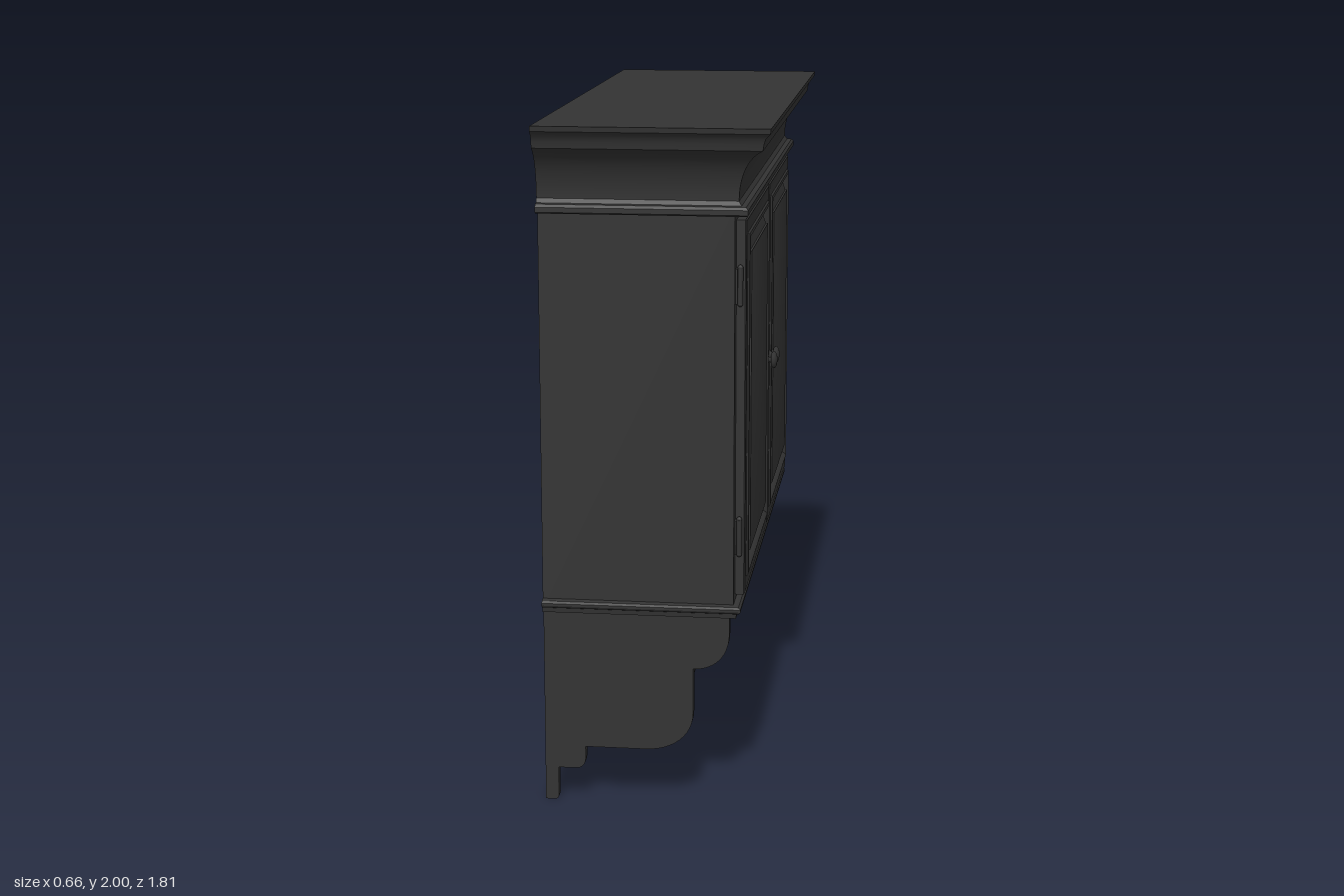
import * as THREE from 'three';
import { toCreasedNormals } from 'three/addons/utils/BufferGeometryUtils.js';

const BACK = -0.333, FRONT = 0.222, HALF = 0.8;

export function createModel() {
  const cabinet = new THREE.Group();
  cabinet.name = 'wallCabinet';
  const paint = new THREE.MeshStandardMaterial({ color: 0x333333 });

  function add(name, geometry, x = 0, y = 0, z = 0) {
    const mesh = new THREE.Mesh(geometry, paint);
    mesh.name = name;
    mesh.position.set(x, y, z);
    cabinet.add(mesh);
    return mesh;
  }

  // Box given by its limits
  function addBox(name, x0, x1, y0, y1, z0, z1) {
    return add(name, new THREE.BoxGeometry(x1 - x0, y1 - y0, z1 - z0),
      (x0 + x1) / 2, (y0 + y1) / 2, (z0 + z1) / 2);
  }

  // Skin over a stack of four-cornered rings, closed at both ends
  function loft(rings) {
    const pos = [];
    const quad = (a, b, c, d) => pos.push(...a, ...b, ...c, ...a, ...c, ...d);
    for (let i = 0; i < rings.length - 1; i++) {
      const p = rings[i], q = rings[i + 1];
      for (let k = 0; k < 4; k++) {
        const n = (k + 1) % 4;
        quad(p[k], p[n], q[n], q[k]);
      }
    }
    quad(...[...rings[0]].reverse());
    quad(...rings[rings.length - 1]);
    const g = new THREE.BufferGeometry();
    g.setAttribute('position', new THREE.Float32BufferAttribute(pos, 3));
    return toCreasedNormals(g, 0.5);
  }

  // Mitred moulding round the front and sides: profile points are [overhang, y]
  const moulding = (profile) => loft(profile.map(([o, y]) => {
    const x = FRONT + o, z = HALF + o;
    return [[x, y, z], [x, y, -z], [BACK, y, -z], [BACK, y, z]];
  }));

  // Carcass
  addBox('body', BACK, FRONT, 0.59, 1.77, -HALF, HALF);

  // Crown with a hollow cove between a lower bead and a stepped top
  const cove = new THREE.CubicBezierCurve(
    new THREE.Vector2(0.012, 1.79), new THREE.Vector2(0.012, 1.86),
    new THREE.Vector2(0.04, 1.915), new THREE.Vector2(0.083, 1.937)
  ).getPoints(10).map((p) => [p.x, p.y]);
  add('crown', moulding([
    [0.036, 1.75], [0.04, 1.754], [0.04, 1.768], [0.034, 1.776], [0.02, 1.778],
    ...cove, [0.086, 1.955], [0.091, 1.97], [0.1, 1.98], [0.105, 1.985], [0.107, 2]
  ]));

  // Base moulding
  add('baseMoulding', moulding([
    [0.008, 0.583], [0.01, 0.597], [0.018, 0.6], [0.022, 0.606], [0.022, 0.613],
    [0.016, 0.619], [0, 0.622]
  ]));

  // Doors with a grooved frame and raised centre panel: [inset, x]
  const doorProfile = [
    [0, 0.22], [0, 0.247], [0.004, 0.25], [0.042, 0.25], [0.046, 0.255], [0.054, 0.257],
    [0.062, 0.252], [0.07, 0.24], [0.078, 0.238], [0.104, 0.25], [0.104, 0.256]
  ];
  const knobProfile = [
    [0, -0.004], [0.014, -0.004], [0.014, 0.003], [0.008, 0.007], [0.008, 0.012],
    [0.02, 0.014], [0.027, 0.019], [0.026, 0.025], [0.017, 0.031], [0, 0.033]
  ].map(([r, y]) => new THREE.Vector2(r, y));

  for (const side of [1, -1]) {
    const word = side > 0 ? 'far' : 'near';
    const zMid = side * 0.384, halfW = 0.371, y0 = 0.64, y1 = 1.73;
    add(word + 'Door', loft(doorProfile.map(([i, x]) => {
      const a = zMid - halfW + i, b = zMid + halfW - i;
      return [[x, y0 + i, a], [x, y1 - i, a], [x, y1 - i, b], [x, y0 + i, b]];
    })));

    const knob = add(word + 'Knob', new THREE.LatheGeometry(knobProfile, 24), 0.25, 1.185, side * 0.04);
    knob.rotation.z = -Math.PI / 2;

    // Hinges: leaf and barrel with finials
    for (const y of [0.815, 1.545]) {
      addBox(word + 'HingeLeaf', 0.218, 0.227, y - 0.05, y + 0.05,
        side * 0.767 - 0.012, side * 0.767 + 0.012);
      add(word + 'HingeBarrel', new THREE.CylinderGeometry(0.008, 0.008, 0.1, 12), 0.234, y, side * 0.763);
      for (const e of [-1, 1]) {
        add(word + 'HingeFinial', new THREE.SphereGeometry(0.008, 10, 8), 0.234, y + e * 0.052, side * 0.763);
      }
    }
  }

  // Scrolled side brackets
  const outline = new THREE.Shape();
  outline.moveTo(BACK, 0.59);
  outline.lineTo(BACK, 0);
  outline.lineTo(-0.308, 0);
  outline.quadraticCurveTo(-0.294, 0, -0.294, 0.014);
  outline.lineTo(-0.294, 0.1);
  outline.lineTo(-0.245, 0.1);
  outline.quadraticCurveTo(-0.213, 0.1, -0.213, 0.135);
  outline.lineTo(-0.213, 0.168);
  outline.lineTo(-0.035, 0.168);
  outline.bezierCurveTo(0.045, 0.168, 0.105, 0.215, 0.105, 0.285);
  outline.lineTo(0.105, 0.42);
  outline.bezierCurveTo(0.165, 0.42, 0.21, 0.46, 0.21, 0.53);
  outline.lineTo(0.21, 0.59);
  const bracket = toCreasedNormals(
    new THREE.ExtrudeGeometry(outline, { depth: 0.028, bevelEnabled: false, curveSegments: 12 }), 0.5);
  add('farBracket', bracket, 0, 0, 0.764);
  add('nearBracket', bracket, 0, 0, -0.792);

  // Back apron with a rounded cutout
  const apron = new THREE.Shape();
  apron.moveTo(-0.766, 0.59);
  apron.lineTo(-0.766, 0.378);
  apron.lineTo(-0.635, 0.378);
  apron.quadraticCurveTo(-0.6, 0.378, -0.6, 0.413);
  apron.lineTo(-0.6, 0.455);
  apron.quadraticCurveTo(-0.6, 0.514, -0.545, 0.514);
  apron.lineTo(0.545, 0.514);
  apron.quadraticCurveTo(0.6, 0.514, 0.6, 0.455);
  apron.lineTo(0.6, 0.413);
  apron.quadraticCurveTo(0.6, 0.378, 0.635, 0.378);
  apron.lineTo(0.766, 0.378);
  apron.lineTo(0.766, 0.59);
  const apronMesh = add('backApron', toCreasedNormals(
    new THREE.ExtrudeGeometry(apron, { depth: 0.028, bevelEnabled: false, curveSegments: 10 }), 0.5), BACK);
  apronMesh.rotation.y = Math.PI / 2;

  // Open shelf between the brackets
  addBox('shelf', BACK, 0.06, 0.26, 0.282, -0.766, 0.766);

  return cabinet;
}
